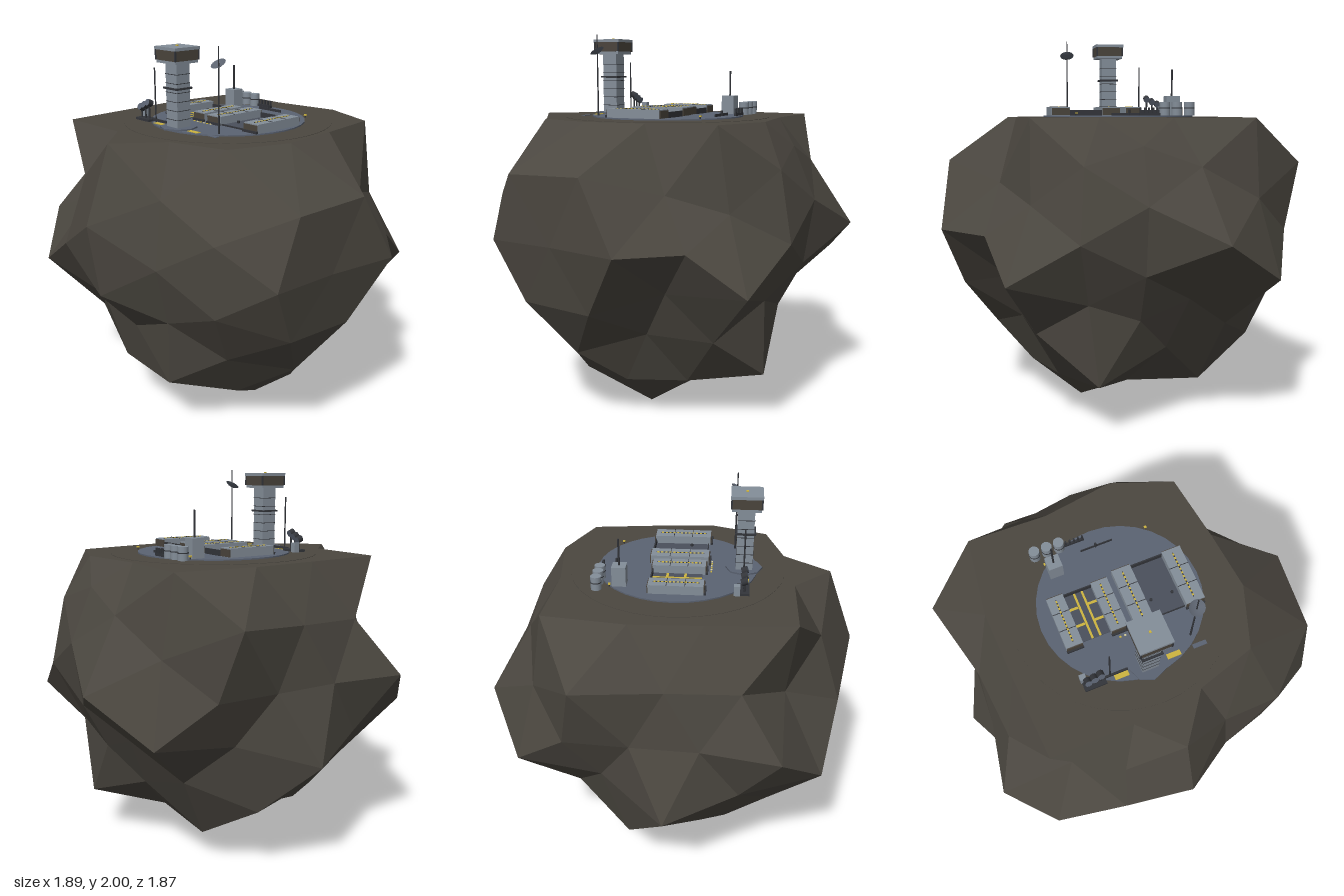
import * as THREE from 'three';

const GROUND = 1.57;
const mat = (name, color, extra = {}) => {
  const m = new THREE.MeshStandardMaterial({ color, ...extra });
  m.name = name;
  return m;
};

// Radius per corner of the boulder, grouped by direction family (tenths of |x|,|y|,|z|);
// inside a family the order runs over the signs, x flipping fastest.
const RADII = {
  '5,9,0': [0.9, 0.9, 0.91, 0.86],
  '0,5,9': [0.93, 0.79, 0.84, 0.77],
  '9,0,5': [1.01, 1.05, 0.86, 0.93],
  '6,6,6': [0.82, 1.04, 0.85, 0.9, 0.88, 1.02, 0.85, 0.84],
  '9,4,0': [0.967, 0.84, 0.9, 1.01],
  '0,9,4': [0.9, 0.9, 0.9, 0.88],
  '4,0,9': [0.81, 0.92, 0.87, 1.005],
  '2,10,0': [0.9, 0.9, 1.02, 0.9],
  '0,2,10': [0.955, 0.9, 0.85, 0.8],
  '10,0,2': [0.9, 0.84, 0.967, 0.825],
  '4,9,3': [0.9, 0.9, 0.93, 0.93, 0.9, 0.9, 0.9, 0.975],
  '3,4,9': [0.82, 0.87, 0.78, 0.8, 0.87, 0.85, 0.78, 0.76],
  '9,3,4': [1.02, 0.88, 0.95, 0.9, 0.76, 1.04, 0.72, 0.81],
  '2,7,7': [0.86, 0.92, 0.95, 0.93, 0.96, 0.88, 1.0, 0.8],
  '7,2,7': [0.92, 0.78, 0.9, 1.05, 0.79, 0.9, 0.99, 1.03],
  '7,7,2': [0.8, 0.86, 0.91, 0.89, 0.76, 0.88, 0.74, 0.965],
};

function boulderGeometry() {
  const g = new THREE.IcosahedronGeometry(1, 2);
  const p = g.attributes.position;
  const v = new THREE.Vector3();
  for (let i = 0; i < p.count; i++) {
    v.fromBufferAttribute(p, i).normalize();
    const c = v.toArray();
    const key = c.map((n) => Math.round(Math.abs(n) * 10)).join(',');
    let index = 0, bit = 0;
    for (const n of c) if (Math.abs(n) > 0.01) index |= (n < 0 ? 1 : 0) << bit++;
    v.multiplyScalar(RADII[key][index]);
    if (v.y > 0.46) v.y = GROUND - 1; // levelled building ground
    p.setXYZ(i, v.x, v.y + 1, v.z);
  }
  g.computeVertexNormals();
  return g;
}

export function createModel() {
  const root = new THREE.Group();
  root.name = 'asteroidOutpost';
  const rock = mat('rock', 0x4b4740, { flatShading: true });
  const pad = mat('padGrey', 0x5b6372);
  const hull = mat('hullGrey', 0x848e99);
  const dark = mat('darkMetal', 0x33353a);
  const brown = mat('windowBrown', 0x4a443c);
  const floor = mat('courtFloor', 0x4a505c);
  const yellow = mat('markingYellow', 0xcdb440);
  const lamp = mat('paleLamp', 0xd8cf9a);

  const add = (parent, name, geometry, material, x = 0, y = 0, z = 0) => {
    const m = new THREE.Mesh(geometry, material);
    m.name = name;
    m.position.set(x, y, z);
    parent.add(m);
    return m;
  };
  const group = (name, x = 0, y = 0, z = 0) => {
    const g = new THREE.Group();
    g.name = name;
    g.position.set(x, y, z);
    root.add(g);
    return g;
  };
  // Box and post are placed by the height of their underside.
  const box = (parent, name, w, h, d, material, x, y, z) =>
    add(parent, name, new THREE.BoxGeometry(w, h, d), material, x, y + h / 2, z);
  const post = (parent, name, r, h, material, x, y, z, sides = 8, r2 = r) =>
    add(parent, name, new THREE.CylinderGeometry(r2, r, h, sides), material, x, y + h / 2, z);

  // Boulder, levelled skirt and landing pad
  add(root, 'boulder', boulderGeometry(), rock);
  post(root, 'levelledSkirt', 0.55, 0.002, rock, -0.01, GROUND, 0.007, 40);
  post(root, 'basePad', 0.41, 0.009, pad, -0.01, GROUND, 0.007, 32);
  const Y = GROUND + 0.009;

  // Hangar blocks with roof seams, a row of roof markers and brown doors
  const hangar = (x, z, w, d) => {
    const g = group('hangarBlock', x, Y, z);
    box(g, 'hangarHull', w, 0.045, d, hull, 0, 0, 0);
    for (const e of [-1, 1]) {
      box(g, 'hangarDoor', w * 0.95, 0.038, 0.006, brown, 0, 0.002, e * (d / 2 + 0.002));
      box(g, 'roofSeam', w, 0.002, 0.003, dark, 0, 0.045, e * d / 6);
    }
    box(g, 'roofStrip', 0.006, 0.002, d * 0.84, dark, 0, 0.045, 0);
    for (let i = 0; i < 12; i++)
      box(g, 'roofMarker', 0.008, 0.003, 0.011, yellow, 0, 0.045, (i - 5.5) * d * 0.07);
    box(g, 'frontSill', w, 0.012, 0.012, dark, 0, 0, d / 2 + 0.006);
  };
  for (const x of [-0.302, -0.072]) hangar(x, 0.02, 0.085, 0.27);
  for (const x of [0.052, 0.32]) hangar(x, 0.015, 0.098, 0.3);

  // Courts between the hangars
  const court = group('courts', 0, Y, 0);
  box(court, 'westCourt', 0.145, 0.004, 0.25, floor, -0.187, 0, 0.015);
  box(court, 'eastCourt', 0.17, 0.004, 0.29, floor, 0.186, 0, 0.012);
  for (const x of [-0.205, -0.165])
    box(court, 'courtLine', 0.011, 0.002, 0.25, yellow, x, 0.004, 0.015);
  for (const z of [-0.035, 0.055])
    for (const x of [-0.235, -0.138])
      box(court, 'courtCrossLine', 0.045, 0.002, 0.013, yellow, x, 0.004, z);
  box(court, 'eastBackWall', 0.17, 0.03, 0.007, dark, 0.186, 0, -0.132);
  box(court, 'eastFrontRail', 0.17, 0.008, 0.005, dark, 0.186, 0, 0.155);
  box(court, 'westBackWall', 0.145, 0.03, 0.006, dark, -0.187, 0, -0.112);
  for (const x of [0.13, 0.242])
    post(court, 'courtBollard', 0.007, 0.012, dark, x, 0.004, 0.065);
  for (let i = 0; i < 6; i++)
    box(court, 'approachLamp', 0.01, 0.004, 0.008, i % 2 ? lamp : yellow, -0.08 + i * 0.025, 0, 0.183);

  // Control tower
  const tower = group('controlTower', -0.012, Y, 0.348);
  post(tower, 'towerFoot', 0.095, 0.008, pad, 0, 0, 0, 8);
  box(tower, 'towerShaft', 0.084, 0.335, 0.084, hull, 0, 0, 0);
  for (let i = 1; i < 7; i++)
    box(tower, 'shaftSeam', 0.087, 0.003, 0.087, dark, 0, i * 0.045, 0);
  box(tower, 'shaftCollar', 0.104, 0.009, 0.104, dark, 0, 0.197, 0);
  box(tower, 'cabFloor', 0.145, 0.014, 0.145, hull, 0, 0.326, 0);
  box(tower, 'cabWindows', 0.15, 0.05, 0.15, brown, 0, 0.34, 0);
  for (const x of [-0.074, 0.074])
    for (const z of [-0.074, 0.074])
      box(tower, 'cabCornerPost', 0.008, 0.05, 0.008, dark, x, 0.34, z);
  box(tower, 'cabRoof', 0.158, 0.015, 0.158, hull, 0, 0.39, 0);
  box(tower, 'roofLamp', 0.01, 0.006, 0.01, yellow, 0, 0.405, 0);

  // Tall mast with tilted dish
  const mast = group('dishMast', 0.235, Y, 0.3);
  post(mast, 'mastPole', 0.005, 2 - Y, dark, 0, 0, 0, 6, 0.003);
  const bowl = new THREE.LatheGeometry(
    [[0.001, -0.01], [0.022, -0.006], [0.039, 0.004]].map(([a, b]) => new THREE.Vector2(a, b)), 16);
  const dishMat = mat('dishGrey', 0x5d6470, { side: THREE.DoubleSide });
  add(mast, 'dish', bowl, dishMat, 0, 1.915 - Y, 0).rotation.x = 0.55;

  // Relay box with antenna, three storage silos and a pipe rack behind it
  const relay = group('relayStation', -0.245, Y, -0.263);
  box(relay, 'relayBox', 0.07, 0.1, 0.07, hull, 0, 0, 0);
  post(relay, 'relayAntenna', 0.005, 0.135, dark, 0, 0.1, 0, 6);
  for (const x of [-0.31, -0.245, -0.182]) {
    post(root, 'silo', 0.027, 0.068, hull, x, Y, -0.37, 12);
    post(root, 'siloBand', 0.0285, 0.005, dark, x, Y + 0.035, -0.37, 12);
  }
  box(root, 'siloPipe', 0.11, 0.014, 0.012, dark, -0.105, Y, -0.372);
  for (let i = 0; i < 5; i++)
    box(root, 'rackSlat', 0.008, 0.04, 0.01, dark, -0.145 + i * 0.022, Y, -0.372);

  // Tank farm with antenna beside the tower
  const tanks = group('tankFarm', -0.28, Y, 0.345);
  box(tanks, 'tankSkid', 0.11, 0.012, 0.06, dark, 0, 0, 0);
  [-0.032, 0, 0.032].forEach((x, i) => {
    post(tanks, 'tankStand', 0.005, 0.05 + i * 0.015, dark, x, 0.012, 0.005, 6);
    const drum = post(tanks, 'tankDrum', 0.018, 0.03, [dark, pad, pad], x, 0.05 + i * 0.015, 0.005, 12);
    drum.rotation.x = 1.2;
  });
  box(tanks, 'tankCabinet', 0.03, 0.05, 0.03, hull, -0.045, 0, -0.03);
  box(tanks, 'tankPipe', 0.12, 0.012, 0.01, dark, 0.11, 0.005, 0);
  post(tanks, 'tankAntenna', 0.004, 1.86 - Y, dark, 0.08, 0, 0, 6);

  // Painted pad plates, rear rail and corner lamps
  for (const x of [-0.148, 0.12])
    box(root, 'hazardPlate', 0.07, 0.003, 0.026, yellow, x, Y, 0.362);
  box(root, 'accessPlate', 0.07, 0.003, 0.022, pad, 0.255, Y, 0.362);
  box(root, 'rearRail', 0.17, 0.014, 0.004, dark, -0.005, Y, -0.312);
  post(root, 'rearPost', 0.006, 0.03, dark, -0.01, Y, -0.312);
  for (const x of [-0.28, 0.26]) {
    post(root, 'lampPost', 0.004, 0.01, dark, x, Y, -0.31, 6);
    box(root, 'cornerLamp', 0.012, 0.007, 0.012, yellow, x, Y + 0.01, -0.31);
  }
  return root;
}
